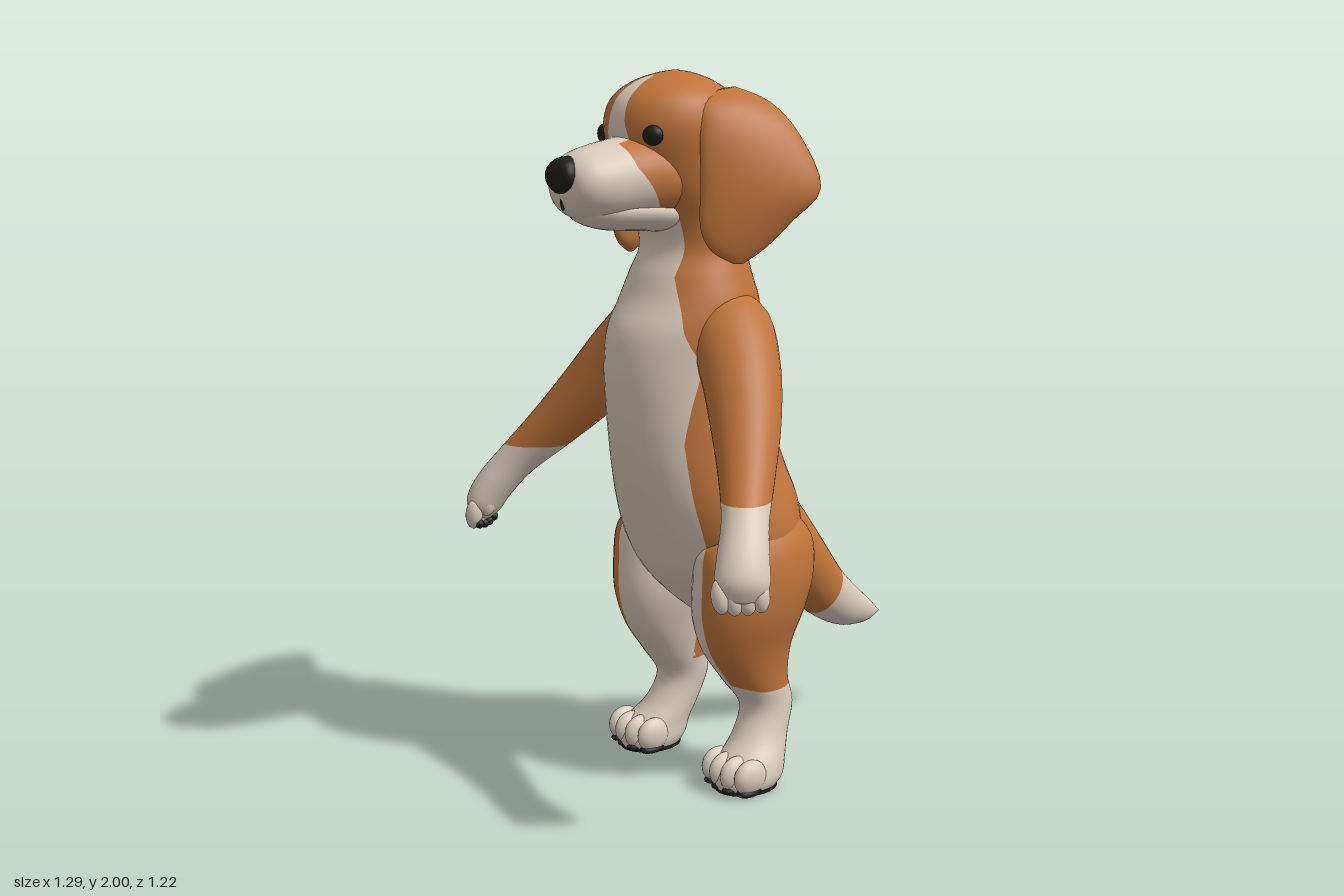
import * as THREE from 'three';

const mat = (name, color) => {
  const m = new THREE.MeshStandardMaterial({ color });
  m.name = name;
  return m;
};

// Smooth blend through rows of numbers
function resample(rows, steps) {
  const out = [];
  const n = rows.length - 1;
  for (let k = 0; k <= n * steps; k++) {
    const i = Math.min(Math.floor(k / steps), n - 1), t = k / steps - i;
    const a = rows[Math.max(i - 1, 0)], b = rows[i], c = rows[i + 1], d = rows[Math.min(i + 2, n)];
    out.push(b.map((p, j) => {
      const m0 = (c[j] - a[j]) / 2, m1 = (d[j] - p) / 2;
      return p + t * m0 + t * t * (3 * (c[j] - p) - 2 * m0 - m1) + t * t * t * (2 * (p - c[j]) + m0 + m1);
    }));
  }
  return out;
}

// Closed skin over elliptical sections: [centre xyz, axis u xyz, axis v xyz]
function loft(rows, side = 1, steps = 4, sides = 28) {
  const rings = resample(rows, steps), pos = [], idx = [];
  for (const r of rings) {
    for (let j = 0; j < sides; j++) {
      const a = (j / sides) * Math.PI * 2, cu = Math.cos(a), sv = Math.sin(a);
      pos.push(side * (r[0] + r[3] * cu + r[6] * sv), r[1] + r[4] * cu + r[7] * sv, r[2] + r[5] * cu + r[8] * sv);
    }
  }
  const last = rings.length - 1, c0 = rings.length * sides;
  for (const r of [rings[0], rings[last]]) pos.push(side * r[0], r[1], r[2]);
  const tri = (a, b, c) => (side > 0 ? idx.push(a, b, c) : idx.push(a, c, b));
  for (let j = 0; j < sides; j++) {
    const k = (j + 1) % sides;
    for (let i = 0; i < last; i++) {
      const a = i * sides + j, b = i * sides + k;
      tri(a, b, b + sides);
      tri(a, b + sides, a + sides);
    }
    tri(c0, k, j);
    tri(c0 + 1, last * sides + j, last * sides + k);
  }
  const g = new THREE.BufferGeometry();
  g.setAttribute('position', new THREE.Float32BufferAttribute(pos, 3));
  g.setIndex(idx);
  g.computeVertexNormals();
  return g;
}

// Section builders: level rings, upright rings, and rings along a path
const level = ([y, zf, zb, w, x = 0]) => [x, y, (zf + zb) / 2, 0, 0, (zf - zb) / 2, w, 0, 0];
const upright = ([z, top, bottom, w]) => [0, (top + bottom) / 2, z, w, 0, 0, 0, (top - bottom) / 2, 0];
function along(points, ref) {
  const P = points.map((p) => new THREE.Vector3(p[0], p[1], p[2]));
  return points.map((p, i) => {
    const t = P[Math.min(i + 1, P.length - 1)].clone().sub(P[Math.max(i - 1, 0)]).normalize();
    const u = ref.clone().cross(t).normalize(), v = t.clone().cross(u);
    return [...P[i].toArray(), ...u.multiplyScalar(p[3]).toArray(), ...v.multiplyScalar(p[4]).toArray()];
  });
}

// Cuts a geometry along rule = 0: group 0 where positive, group 1 elsewhere
function paint(geo, rule) {
  const g = geo.toNonIndexed(), p = g.attributes.position, n = g.attributes.normal;
  const parts = [[], []];
  for (let i = 0; i < p.count; i += 3) {
    const v = [0, 1, 2].map((k) => {
      const q = [p.getX(i + k), p.getY(i + k), p.getZ(i + k)];
      return { d: [...q, n.getX(i + k), n.getY(i + k), n.getZ(i + k)], f: rule(Math.abs(q[0]), q[1], q[2]) };
    });
    [1, -1].forEach((s, part) => {
      const poly = [];
      v.forEach((a, k) => {
        const b = v[(k + 1) % 3], inA = a.f > 0 === s > 0, inB = b.f > 0 === s > 0;
        if (inA) poly.push(a.d);
        if (inA !== inB) poly.push(a.d.map((e, j) => e + (b.d[j] - e) * (a.f / (a.f - b.f))));
      });
      for (let k = 1; k + 1 < poly.length; k++) parts[part].push(poly[0], poly[k], poly[k + 1]);
    });
  }
  const all = [...parts[0], ...parts[1]], out = new THREE.BufferGeometry();
  out.setAttribute('position', new THREE.Float32BufferAttribute(all.flatMap((d) => d.slice(0, 3)), 3));
  out.setAttribute('normal', new THREE.Float32BufferAttribute(all.flatMap((d) => d.slice(3)), 3));
  out.addGroup(0, parts[0].length, 0);
  out.addGroup(parts[0].length, parts[1].length, 1);
  return out;
}

// Straight-line lookup in [key, value] pairs
function look(table, k) {
  let i = 0;
  while (i < table.length - 2 && k > table[i + 1][0]) i++;
  const [a, b] = [table[i], table[i + 1]];
  return THREE.MathUtils.lerp(a[1], b[1], THREE.MathUtils.clamp((k - a[0]) / (b[0] - a[0]), 0, 1));
}

// Marking borders
const bibWidth = [[0.3, 0.19], [0.75, 0.19], [1, 0.165], [1.22, 0.188], [1.35, 0.15], [1.45, 0.1], [1.6, 0.1]];
const blazeWidth = [[1.72, 0.1], [1.8, 0.05], [1.87, 0.033], [1.95, 0.026], [1.985, 0.012]];
const cheekLine = [[1.55, 0.27], [1.67, 0.36], [1.75, 0.42], [1.8, 0.43], [1.88, 0.5]];
const bib = (x, y, z) => Math.min(look(bibWidth, y) - x, z - 0.12, 1.62 - y);
const face = (x, y, z) => Math.max(
  Math.min(look(blazeWidth, y) - x, z - 0.28, y - 1.6),
  Math.min(z - look(cheekLine, y), y - 1.53));
const coat = (x, y, z) => Math.max(bib(x, y, z), face(x, y, z));
const legCoat = (x, y, z) => Math.max(0.275 + (z < 0.1 ? 0 : (z - 0.1) * 0.3) - y, Math.min(look(bibWidth, y) - x, z - 0.06));

export function createModel() {
  const model = new THREE.Group();
  model.name = 'puppy';
  const fur = mat('orange fur', 0xbf743a), white = mat('cream fur', 0xdacbbc), black = mat('black', 0x1f1e19);
  const coats = [white, fur];
  const add = (name, geo, material, parent = model) => {
    const m = new THREE.Mesh(geo, material);
    m.name = name;
    parent.add(m);
    return m;
  };
  const ball = (name, material, pos, size, parent) => {
    const m = add(name, new THREE.SphereGeometry(1, 18, 12), material, parent);
    m.position.set(...pos);
    m.scale.set(...size);
    return m;
  };

  // Torso, neck and skull in one skin: [y, front z, back z, half width]
  const body = [
    [0.46, 0.13, 0.03, 0.03], [0.52, 0.2, -0.06, 0.14], [0.6, 0.265, -0.125, 0.24], [0.7, 0.31, -0.155, 0.285],
    [0.8, 0.345, -0.155, 0.275], [0.9, 0.375, -0.125, 0.243], [1, 0.395, -0.095, 0.218], [1.1, 0.408, -0.075, 0.205],
    [1.2, 0.412, -0.06, 0.2], [1.3, 0.395, -0.05, 0.205], [1.38, 0.345, -0.032, 0.205], [1.45, 0.315, -0.012, 0.182],
    [1.52, 0.285, 0, 0.16], [1.6, 0.3, 0, 0.162], [1.68, 0.345, -0.02, 0.178], [1.77, 0.385, -0.03, 0.185],
    [1.85, 0.405, -0.015, 0.187], [1.92, 0.385, 0.025, 0.165], [1.965, 0.33, 0.085, 0.115], [1.99, 0.26, 0.145, 0.06],
    [2, 0.205, 0.195, 0.005],
  ];
  add('body', paint(loft(body.map(level), 1, 4, 48), coat), coats);

  // Muzzle, lower jaw and nose
  const muzzle = [
    [0.24, 1.83, 1.6, 0.14], [0.34, 1.835, 1.6, 0.135], [0.42, 1.82, 1.6, 0.122], [0.48, 1.808, 1.6, 0.115],
    [0.54, 1.79, 1.615, 0.1], [0.575, 1.765, 1.64, 0.07], [0.59, 1.73, 1.68, 0.02],
  ];
  add('muzzle', paint(loft(muzzle.map(upright), 1, 4, 36), face), coats);
  const jaw = [[0.2, 1.66, 1.56, 0.1], [0.34, 1.68, 1.572, 0.105], [0.45, 1.68, 1.58, 0.09], [0.52, 1.67, 1.6, 0.06], [0.545, 1.65, 1.62, 0.015]];
  add('jaw', loft(jaw.map(upright)), white);
  const nose = [[0.555, 1.78, 1.69, 0.048], [0.585, 1.775, 1.68, 0.056], [0.603, 1.76, 1.695, 0.045], [0.61, 1.74, 1.72, 0.01]];
  add('nose', loft(nose.map(upright), 1, 4, 20), black);
  ball('lip crease', black, [0, 1.665, 0.579], [0.006, 0.028, 0.008]);

  // Tail with a pale tip
  const tail = [
    [0, 0.79, -0.03, 0.1, 0.08], [0, 0.7, -0.13, 0.11, 0.09], [0, 0.58, -0.235, 0.1, 0.096], [0, 0.45, -0.35, 0.086, 0.085],
    [0, 0.375, -0.45, 0.07, 0.065], [0, 0.335, -0.545, 0.04, 0.036], [0, 0.32, -0.61, 0.003, 0.003],
  ];
  add('tail', paint(loft(along(tail, new THREE.Vector3(1, 0, 0))), (x, y, z) => -0.84 * (z + 0.36) - 0.54 * (y - 0.44)), coats);

  // Ear rows: front edge, back edge, half thickness
  const earRows = [
    [[0.13, 1.945, 0.17], [0.13, 1.955, 0.1], 0.012], [[0.155, 1.91, 0.24], [0.205, 1.915, 0.04], 0.03],
    [[0.178, 1.82, 0.262], [0.28, 1.83, 0], 0.036], [[0.19, 1.7, 0.27], [0.343, 1.69, -0.022], 0.032],
    [[0.19, 1.59, 0.272], [0.302, 1.6, 0.045], 0.03], [[0.205, 1.525, 0.245], [0.262, 1.53, 0.105], 0.022],
    [[0.232, 1.49, 0.19], [0.24, 1.49, 0.165], 0.004],
  ].map(([f, b, t]) => {
    const u = b.map((e, i) => (e - f[i]) / 2), l = Math.hypot(u[0], u[2]);
    // Rows run downward, so thickness points along u's level normal
    return [...f.map((e, i) => (e + b[i]) / 2), ...u, (u[2] / l) * -t * -1, 0, (u[0] / l) * -t];
  }).reverse();

  const arm = [
    [0.07, 1.34, 0.13, 0.09, 0.1], [0.16, 1.3, 0.145, 0.105, 0.12], [0.26, 1.2, 0.19, 0.1, 0.11], [0.35, 1.08, 0.25, 0.09, 0.095],
    [0.44, 0.965, 0.325, 0.072, 0.075], [0.515, 0.87, 0.395, 0.058, 0.062], [0.565, 0.79, 0.445, 0.056, 0.068],
    [0.59, 0.73, 0.47, 0.05, 0.07], [0.595, 0.69, 0.478, 0.025, 0.04],
  ];
  // Leg rows: [y, front z, back z, half width, x]
  const leg = [
    [0.008, 0.23, 0.04, 0.08, 0.22], [0.035, 0.235, 0.02, 0.09, 0.22], [0.08, 0.215, 0.005, 0.085, 0.215],
    [0.14, 0.15, -0.02, 0.073, 0.2], [0.22, 0.115, -0.048, 0.07, 0.19], [0.3, 0.17, -0.035, 0.08, 0.182],
    [0.4, 0.24, -0.05, 0.102, 0.178], [0.5, 0.27, -0.09, 0.13, 0.18], [0.6, 0.27, -0.12, 0.135, 0.183],
    [0.7, 0.26, -0.12, 0.12, 0.18], [0.78, 0.2, -0.06, 0.08, 0.17],
  ];

  for (const s of [1, -1]) {
    const side = s > 0 ? 'left' : 'right';
    add(side + ' ear', loft(earRows, s), fur);
    const eye = ball(side + ' eye', black, [s * 0.106, 1.83, 0.362], [0.029, 0.027, 0.02]);
    eye.rotation.y = s * 0.45;

    add(side + ' arm', paint(loft(along(arm, new THREE.Vector3(0.5, 0, -0.87)), s), (x, y) => 0.915 - y), coats);
    // Fingers fan across the paw, with a dark pad under each
    const hand = new THREE.Group();
    hand.name = side + ' hand';
    model.add(hand);
    for (let i = -1.5; i <= 1.5; i++) {
      const x = 0.593 + 0.018 * i, z = 0.478 - 0.028 * i, y = 0.7 + Math.abs(i) * 0.006;
      const f = ball('finger', white, [s * x, y, z], [0.024, 0.046, 0.026], hand);
      f.rotation.z = s * 0.15;
      ball('finger pad', black, [s * (x - 0.012), y - 0.03, z - 0.01], [0.014, 0.014, 0.014], hand);
    }
    ball('thumb', white, [s * 0.55, 0.74, 0.485], [0.024, 0.04, 0.026], hand);

    add(side + ' leg', paint(loft(leg.map(level), s, 4, 36), legCoat), coats);
    // Foot: toes and dark sole
    const foot = new THREE.Group();
    foot.name = side + ' foot';
    model.add(foot);
    for (let i = -1.5; i <= 1.5; i++) {
      const x = s * (0.22 + i * 0.047), z = 0.198 - Math.abs(i) * 0.012;
      ball('toe', white, [x, 0.056, z], [0.029, 0.05, 0.055], foot);
      ball('toe pad', black, [x, 0.014, z + 0.005], [0.024, 0.014, 0.042], foot);
    }
    const sole = add('sole', new THREE.CylinderGeometry(1, 1, 0.012, 28), black, foot);
    sole.position.set(s * 0.22, 0.006, 0.135);
    sole.scale.set(0.082, 1, 0.095);
  }
  return model;
}
